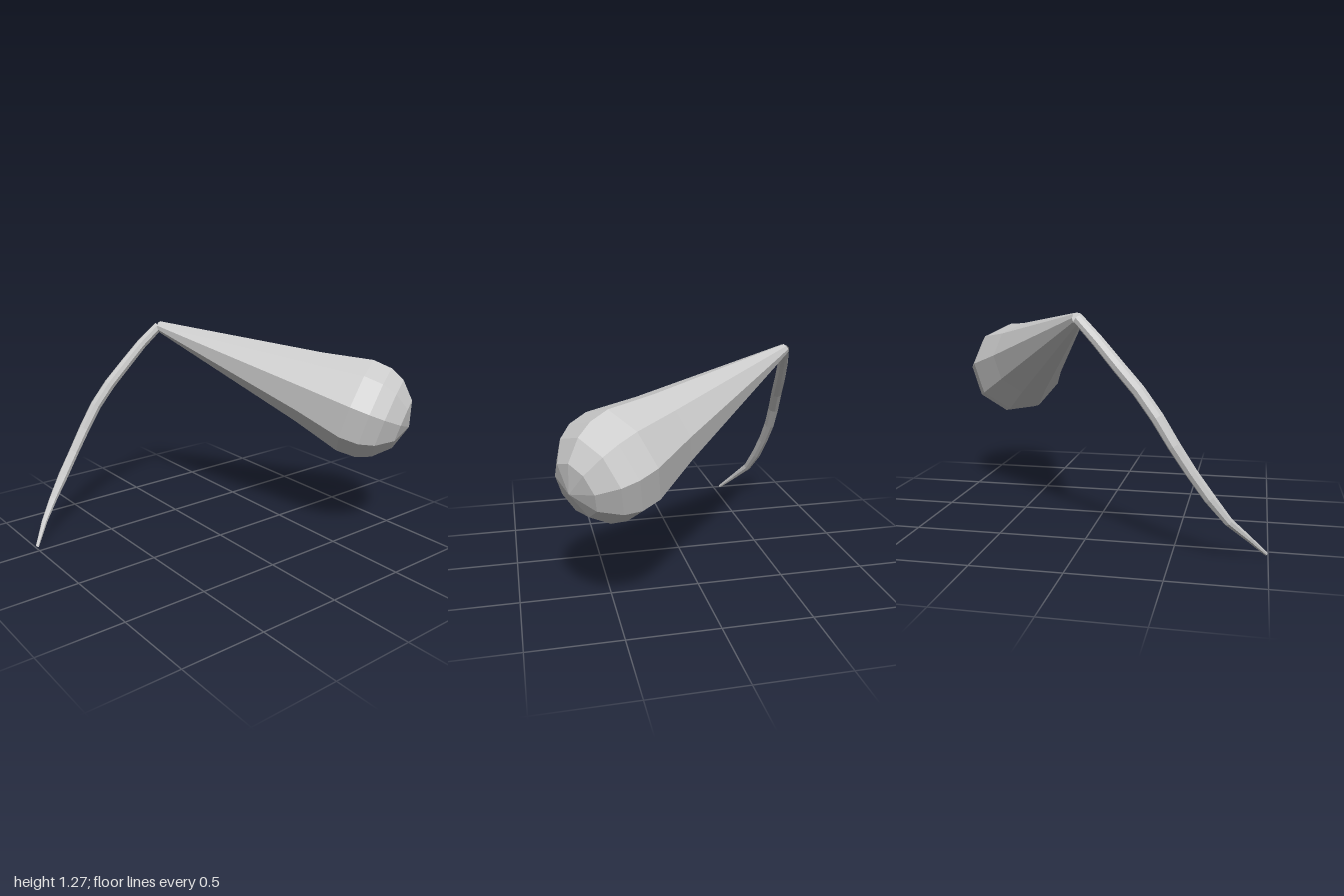
import * as THREE from 'three';

const SIDES = 9;

function makeMaterial() {
  return new THREE.MeshStandardMaterial({ color: 0xcccccc, flatShading: true, side: THREE.DoubleSide });
}

// Teardrop bulb: a nine-sided cone that ends in a faceted dome
function makeBulb(apex, domeCentre) {
  const profile = [
    [0, 0], [0.032, 0], [0.228, 1.06], [0.297, 1.36],
    [0.29, 1.477], [0.25, 1.566], [0.155, 1.657], [0, 1.70],
  ].map(([r, t]) => new THREE.Vector2(r, t));
  const geometry = new THREE.LatheGeometry(profile, SIDES, THREE.MathUtils.degToRad(-4));

  // Lay the lathe axis along the line from the apex to the dome
  const axis = domeCentre.clone().sub(apex).normalize();
  const up = new THREE.Vector3(0, 1, 0).addScaledVector(axis, -axis.y).normalize();
  const side = new THREE.Vector3().crossVectors(axis, up);
  geometry.applyMatrix4(new THREE.Matrix4().makeBasis(side, axis, up).setPosition(apex));

  const bulb = new THREE.Mesh(geometry, makeMaterial());
  bulb.name = 'bulb';
  return bulb;
}

// Thin curved stem, tapering to a point at the ground
function makeStem(apex) {
  const path = [
    apex.toArray(), [-0.14, 1.10, -0.695], [-0.255, 0.97, -0.72], [-0.36, 0.855, -0.74],
    [-0.455, 0.72, -0.757], [-0.55, 0.565, -0.757], [-0.66, 0.405, -0.74],
    [-0.775, 0.245, -0.71], [-0.885, 0.13, -0.64], [-0.99, 0.01, -0.55],
  ].map((p) => new THREE.Vector3(...p));
  const curve = new THREE.CatmullRomCurve3(path);
  const segments = 10, sides = 8;
  const geometry = new THREE.TubeGeometry(curve, segments, 1, sides, false);

  // Scale each ring about the path to set its thickness
  const position = geometry.attributes.position;
  const v = new THREE.Vector3();
  for (let i = 0; i <= segments; i++) {
    const t = i / segments;
    const centre = curve.getPointAt(t);
    const radius = t < 0.65 ? 0.03 + 0.006 * Math.sin(Math.PI * t / 0.65)
      : THREE.MathUtils.lerp(0.035, 0.01, (t - 0.65) / 0.35);
    for (let j = 0; j <= sides; j++) {
      const k = i * (sides + 1) + j;
      v.fromBufferAttribute(position, k).sub(centre).multiplyScalar(radius).add(centre);
      position.setXYZ(k, v.x, v.y, v.z);
    }
  }
  geometry.computeVertexNormals();
  const stem = new THREE.Mesh(geometry, makeMaterial());
  stem.name = 'stem';
  return stem;
}

export function createModel() {
  const group = new THREE.Group();
  group.name = 'bulbOnStem';
  const apex = new THREE.Vector3(0, 1.24, -0.65);
  group.add(makeBulb(apex, new THREE.Vector3(0.70, 0.83, 0.49)));
  group.add(makeStem(apex));
  return group;
}
